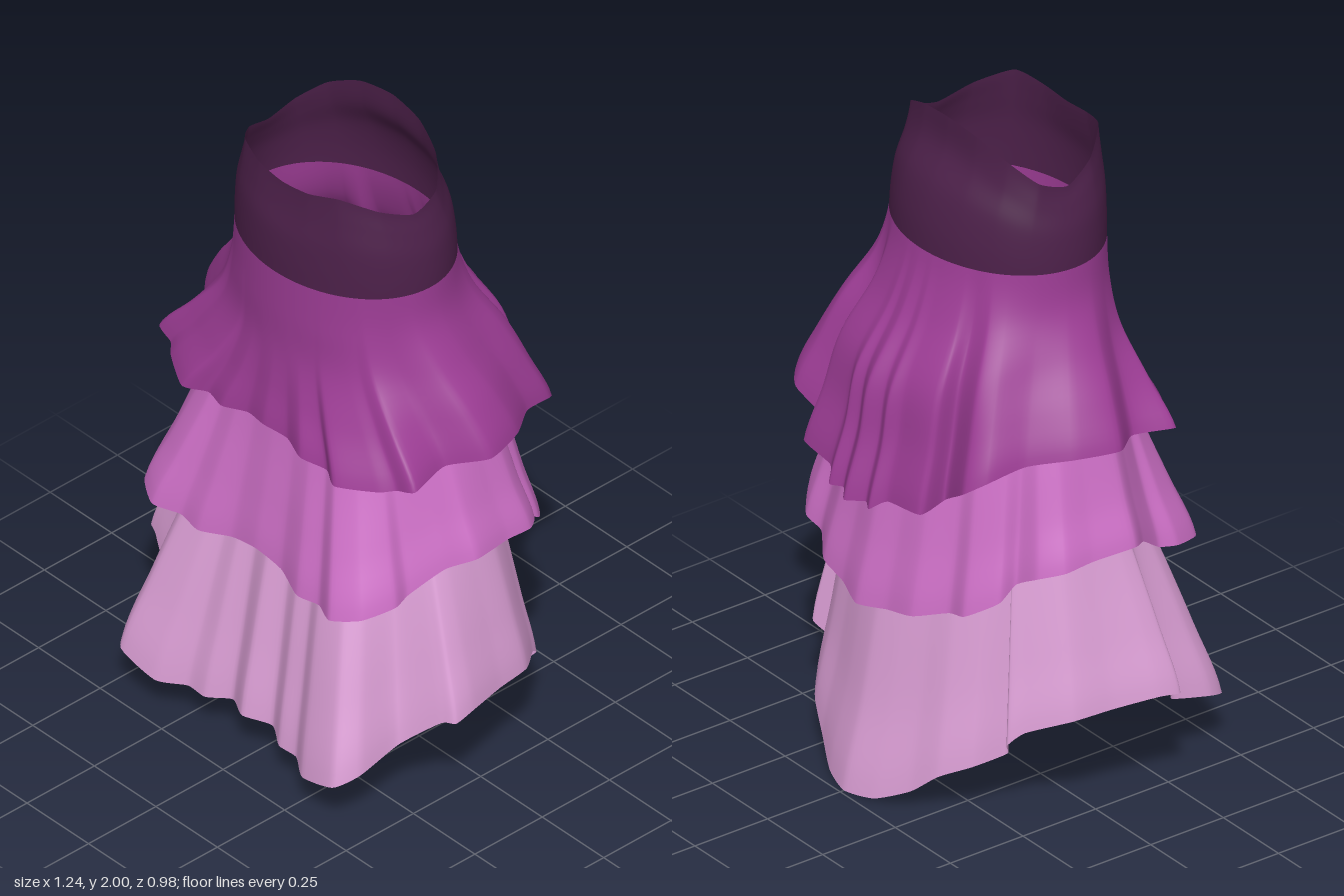
import * as THREE from 'three';

const SEGMENTS = 240, ROWS = 24;

function material(name, color) {
  const m = new THREE.MeshStandardMaterial({ color, side: THREE.DoubleSide });
  m.name = name;
  return m;
}

// Closed outline from points listed front centre to back centre on the left side
function outline(half) {
  const left = half.map(p => new THREE.Vector3(...p));
  const right = left.slice(1, -1).reverse().map(p => new THREE.Vector3(-p.x, p.y, p.z));
  return new THREE.CatmullRomCurve3([...left, ...right], true, 'catmullrom', 0.3);
}

// Drape profile: share of the outward sweep reached at five even steps from seam to edge
function profile(steps) {
  return new THREE.SplineCurve(steps.map((f, i) => new THREE.Vector2(i / (steps.length - 1), f)));
}

// Cloth swept from an oval seam to a free edge, with drape profiles at front, side and back
function cloth(name, mat, seam, half, drape) {
  const edge = outline(half);
  const first = half[0], last = half[half.length - 1];
  const upward = first[1] > seam.y;
  const middle = (seam.front + seam.back) / 2, depth = (seam.front - seam.back) / 2;
  const edgeMiddle = (first[2] + last[2]) / 2, edgeDepth = (first[2] - last[2]) / 2;
  const edgeWidth = Math.max(...half.map(p => p[0]));
  const [front, side, back] = drape.map(profile);
  const columns = [], pos = [], index = [];
  for (let i = 0; i < SEGMENTS; i++) {
    const end = edge.getPoint(i / SEGMENTS);
    const a = Math.atan2(end.x / edgeWidth, (end.z - edgeMiddle) / edgeDepth);
    const start = new THREE.Vector3(
      seam.width * Math.sin(a), seam.y, middle + depth * Math.cos(a));
    columns.push({ start, end, c: Math.cos(a) });
  }
  for (let j = 0; j <= ROWS; j++) {
    const t = j / ROWS;
    const [ff, fs, fb] = [front, side, back].map(p => p.getPoint(t).y);
    for (const { start, end, c } of columns) {
      const f = THREE.MathUtils.lerp(fs, c > 0 ? ff : fb, c * c);
      pos.push(
        THREE.MathUtils.lerp(start.x, end.x, f),
        THREE.MathUtils.lerp(start.y, end.y, t),
        THREE.MathUtils.lerp(start.z, end.z, f));
    }
  }
  for (let j = 0; j < ROWS; j++) {
    for (let i = 0; i < SEGMENTS; i++) {
      const n = (i + 1) % SEGMENTS;
      const a = j * SEGMENTS + i, b = a + SEGMENTS;
      const c = j * SEGMENTS + n, d = c + SEGMENTS;
      if (upward) index.push(a, c, b, c, d, b);
      else index.push(a, b, c, c, b, d);
    }
  }
  const g = new THREE.BufferGeometry();
  g.setAttribute('position', new THREE.Float32BufferAttribute(pos, 3));
  g.setIndex(index);
  g.computeVertexNormals();
  const mesh = new THREE.Mesh(g, mat);
  mesh.name = name;
  return mesh;
}

export function createModel() {
  const skirt = new THREE.Group();
  skirt.name = 'tieredSkirt';

  const plum = material('darkPlum', 0x4c2049);
  const purple = material('purple', 0x9c3c94);
  const orchid = material('orchid', 0xcb6ec4);
  const lilac = material('paleLilac', 0xd99dd3);

  const waist = { y: 1.62, width: 0.346, front: 0.312, back: -0.225 };

  // Waistband rising to a wavy rim, highest at the back
  skirt.add(cloth('waistband', plum, waist,
    [[0, 1.91, 0.28], [0.1, 1.92, 0.275], [0.19, 1.935, 0.245], [0.265, 1.89, 0.16],
     [0.295, 1.85, 0.06], [0.285, 1.88, -0.03], [0.22, 1.94, -0.09],
     [0.12, 1.985, -0.12], [0, 2.0, -0.13]],
    [[0, 0, 0.15, 0.65, 1], [0, 0.08, 0.25, 0.6, 1], [0, 0.1, 0.37, 0.9, 1]]));

  // Upper ruffle
  skirt.add(cloth('upperRuffle', purple, waist,
    [[0, 1.11, 0.35], [0.08, 1.1, 0.335], [0.16, 1.09, 0.36], [0.24, 1.08, 0.335],
     [0.31, 1.08, 0.37], [0.42, 1.09, 0.31], [0.46, 1.1, 0.275], [0.52, 1.12, 0.26],
     [0.495, 1.13, 0.13], [0.575, 1.15, 0.03], [0.54, 1.15, -0.1], [0.46, 1.13, -0.21],
     [0.43, 1.1, -0.32], [0.38, 1.06, -0.365], [0.26, 0.98, -0.335], [0.265, 0.965, -0.425],
     [0.13, 0.95, -0.435], [0.09, 0.92, -0.47], [0.05, 0.92, -0.45], [0, 0.915, -0.487]],
    [[0, 0, 0, 0.4, 1], [0, 0.08, 0.36, 0.74, 1], [0, 0.24, 0.66, 0.8, 1]]));

  // Middle ruffle
  skirt.add(cloth('middleRuffle', orchid,
    { y: 1.35, width: 0.4, front: 0.283, back: -0.25 },
    [[0, 0.7, 0.38], [0.1, 0.68, 0.375], [0.2, 0.665, 0.41], [0.28, 0.67, 0.4],
     [0.36, 0.68, 0.435], [0.44, 0.7, 0.39], [0.48, 0.72, 0.3], [0.47, 0.73, 0.24],
     [0.52, 0.8, 0.15], [0.575, 0.83, 0.08], [0.555, 0.82, -0.05], [0.55, 0.81, -0.14],
     [0.5, 0.79, -0.2], [0.43, 0.75, -0.22], [0.43, 0.71, -0.28], [0.36, 0.66, -0.345],
     [0.29, 0.64, -0.345], [0.2, 0.61, -0.405], [0.1, 0.59, -0.415], [0, 0.575, -0.445]],
    [[0, 0.18, 0.42, 0.72, 1], [0, 0.24, 0.48, 0.72, 1], [0, 0.3, 0.55, 0.77, 1]]));

  // Long lower ruffle, dipping to the ground at the back
  skirt.add(cloth('lowerRuffle', lilac,
    { y: 1.05, width: 0.4, front: 0.245, back: -0.25 },
    [[0, 0.15, 0.43], [0.08, 0.14, 0.39], [0.15, 0.13, 0.43], [0.22, 0.13, 0.43],
     [0.3, 0.13, 0.48], [0.43, 0.17, 0.487], [0.47, 0.2, 0.42], [0.475, 0.24, 0.28],
     [0.58, 0.34, 0.22], [0.62, 0.35, 0.2], [0.615, 0.36, 0.13], [0.58, 0.35, 0],
     [0.555, 0.34, -0.12], [0.47, 0.3, -0.22], [0.44, 0.26, -0.26], [0.39, 0.2, -0.22],
     [0.35, 0.17, -0.31], [0.28, 0.13, -0.375], [0.2, 0.06, -0.41], [0.1, 0.01, -0.46],
     [0, 0, -0.487]],
    [[0, 0.3, 0.56, 0.79, 1], [0, 0.24, 0.5, 0.76, 1], [0, 0.29, 0.53, 0.74, 1]]));

  return skirt;
}
